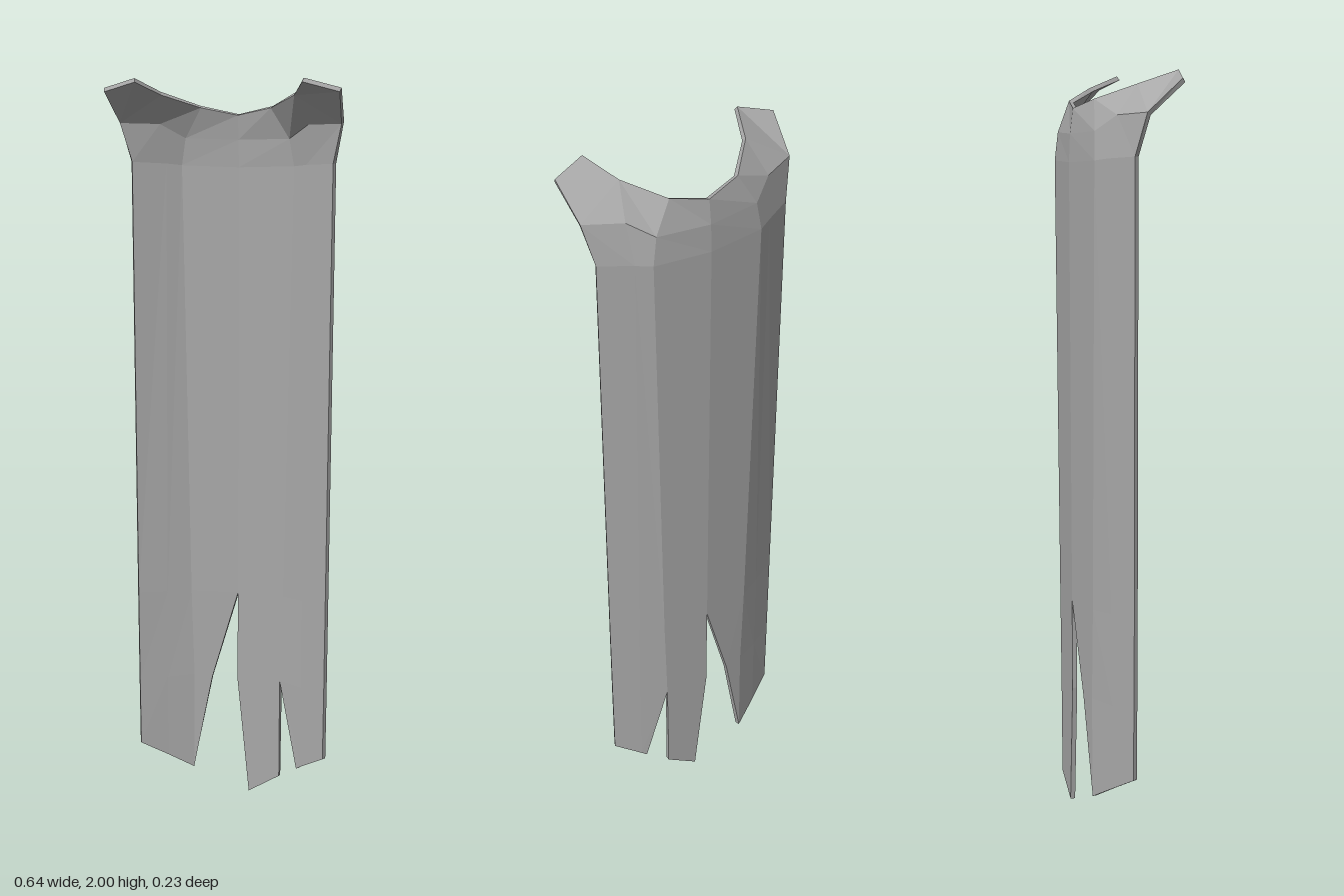
import * as THREE from 'three';

const THICKNESS = 0.013;

// Closed shell from a sheet: outer faces, offset inner faces and a rim along open edges.
function thicken(points, faces) {
  const keys = Object.keys(points);
  const outer = {}, normal = {}, inner = {}, out = [];
  for (const k of keys) {
    outer[k] = new THREE.Vector3(...points[k]);
    normal[k] = new THREE.Vector3();
  }
  const edges = new Map();
  for (const f of faces) {
    const n = new THREE.Vector3();
    for (let i = 1; i < f.length - 1; i++) {
      const a = outer[f[i]].clone().sub(outer[f[0]]);
      const b = outer[f[i + 1]].clone().sub(outer[f[0]]);
      n.add(a.cross(b));
    }
    n.normalize();
    f.forEach((k, i) => {
      normal[k].add(n);
      const next = f[(i + 1) % f.length];
      edges.set(k + '>' + next, [k, next]);
    });
  }
  for (const k of keys) inner[k] = outer[k].clone().addScaledVector(normal[k].normalize(), -THICKNESS);
  const tri = (a, b, c) => out.push(...a.toArray(), ...b.toArray(), ...c.toArray());
  for (const f of faces) {
    for (let i = 1; i < f.length - 1; i++) {
      tri(outer[f[0]], outer[f[i]], outer[f[i + 1]]);
      tri(inner[f[0]], inner[f[i + 1]], inner[f[i]]);
    }
  }
  for (const [a, b] of edges.values()) {
    if (edges.has(b + '>' + a)) continue;
    tri(outer[b], outer[a], inner[a]);
    tri(outer[b], inner[a], inner[b]);
  }
  const g = new THREE.BufferGeometry();
  g.setAttribute('position', new THREE.Float32BufferAttribute(out, 3));
  g.computeVertexNormals();
  return g;
}

export function createModel() {
  const group = new THREE.Group();
  const cloth = new THREE.MeshStandardMaterial({ color: 0xa8a8a8, flatShading: true });
  cloth.name = 'grey cloth';

  // Columns a (side edge), b, c, d (spine); rows count down from the collar edge.
  const half = {
    t0: [-0.32, 1.975, 0.08], t1: [-0.227, 2, 0.106],
    b0: [-0.185, 1.965, 0.01], c0: [-0.1, 1.928, -0.078],
    am: [-0.308, 1.89, -0.01], bm: [-0.21, 1.885, -0.055], cm: [-0.148, 1.845, -0.094],
    a1: [-0.283, 1.78, -0.034], b1: [-0.2, 1.775, -0.078], c1: [-0.16, 1.77, -0.099],
    a2: [-0.274, 0.58, -0.03], b2: [-0.2, 0.58, -0.066], c2: [-0.136, 0.58, -0.096],
    a3: [-0.272, 0.33, -0.03], b3: [-0.2, 0.33, -0.064], c3: [-0.128, 0.335, -0.096],
    a4: [-0.27, 0.14, -0.03], b4: [-0.2, 0.1, -0.064],
  };
  const points = {
    d0: [0, 1.906, -0.102], dm: [0, 1.84, -0.11], d1: [0, 1.765, -0.113], d2: [0, 0.58, -0.108],
    // Torn hem
    e3: [-0.075, 0.33, -0.102], c4: [-0.13, 0.06, -0.095],
    d3: [0, 0.33, -0.107], f4: [0.035, 0, -0.102], g4: [0.125, 0.055, -0.095], h4: [0.185, 0.09, -0.07],
  };
  for (const [k, [x, y, z]] of Object.entries(half)) {
    points[k] = [x, y, z];
    points[k.toUpperCase()] = [-x, y, z];
  }

  const faces = [];
  const mirrored = (...f) => {
    faces.push(f);
    faces.push(f.map((k) => (k[0] === 'd' ? k : k.toUpperCase())).reverse());
  };
  // Flared collar
  mirrored('am', 't0', 't1', 'b0');
  mirrored('am', 'b0', 'bm');
  mirrored('bm', 'b0', 'c0', 'cm');
  mirrored('cm', 'c0', 'd0', 'dm');
  // Shoulder band and long back panel
  for (const [p, q] of ['ab', 'bc', 'cd']) {
    mirrored(p + '1', p + 'm', q + 'm', q + '1');
    mirrored(p + '2', p + '1', q + '1', q + '2');
  }
  // Lower panel and outer hem strips
  mirrored('a3', 'a2', 'b2', 'b3');
  mirrored('b3', 'b2', 'c2', 'c3');
  mirrored('a4', 'a3', 'b3', 'b4');
  // Torn strips
  faces.push(['c2', 'd2', 'e3', 'c3'], ['b4', 'b3', 'c3', 'c4'], ['c3', 'e3', 'c4']);
  faces.push(['d2', 'C2', 'C3', 'd3'], ['d3', 'C3', 'g4', 'f4'], ['C3', 'B3', 'B4', 'h4']);

  const cape = new THREE.Mesh(thicken(points, faces), cloth);
  cape.name = 'tornCape';
  group.add(cape);
  return group;
}
